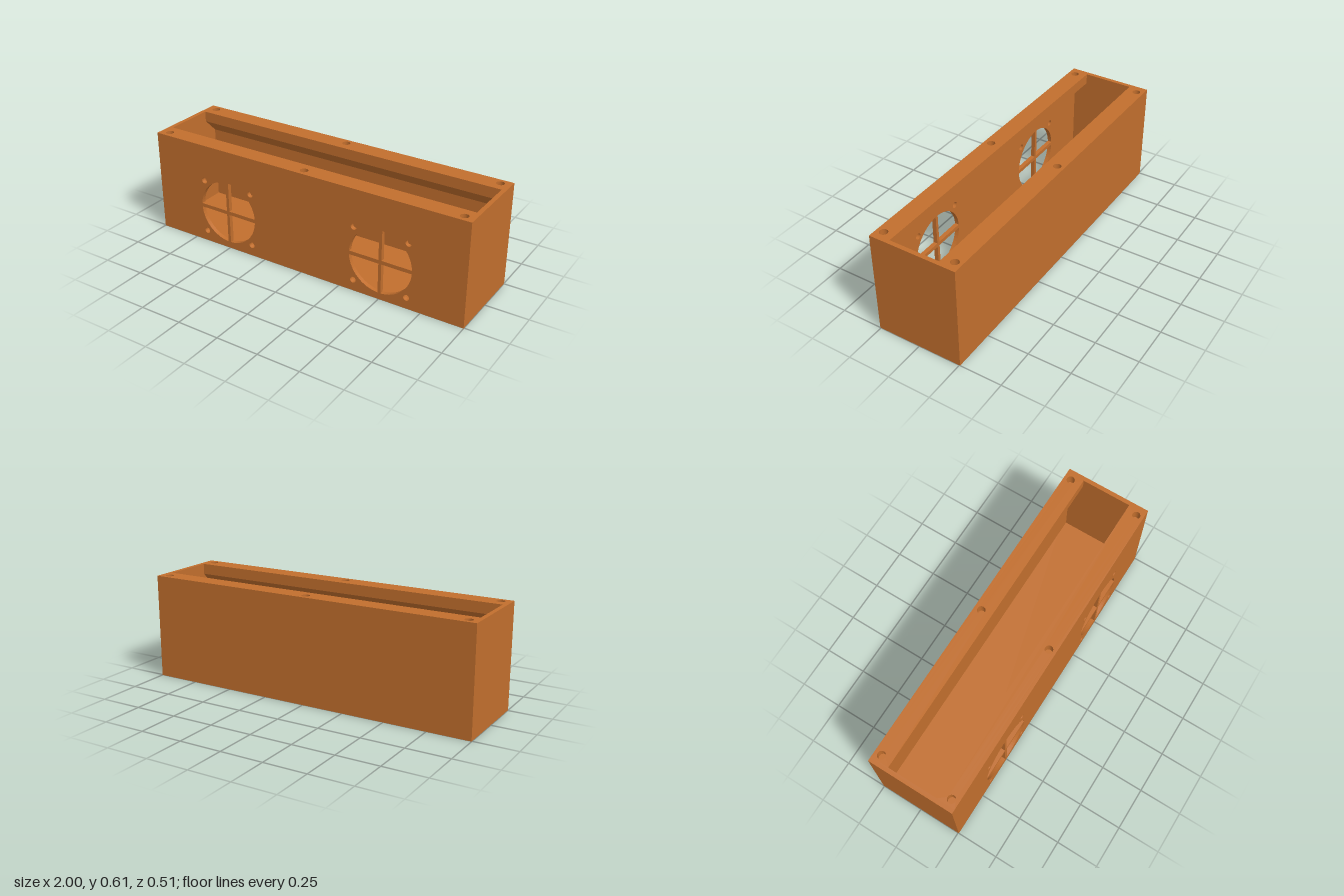
import * as THREE from 'three';

const L = 2, H = 0.613, D = 0.51, T = 0.025; // outer size and wall thickness
const LIP = 0.063, LIP_IN = 0.148, RAMP = 0.083; // top rail height, inner edge, slope below it
const IN_X = L / 2 - T, IN_Z = D / 2 - T;

// Rectangle shape from two corners
function rect(x0, y0, x1, y1) {
  return new THREE.Shape([[x0, y0], [x1, y0], [x1, y1], [x0, y1]].map(p => new THREE.Vector2(...p)));
}

function circleHole(x, y, r) {
  const p = new THREE.Path();
  p.absarc(x, y, r, 0, Math.PI * 2, true);
  return p;
}

// Quarter of a round opening, leaving room for the cross bars
function quarterHole(cx, cy, r, barX, barY, sx, sy) {
  const a0 = Math.asin(barY / r), a1 = Math.acos(barX / r), pts = [[barX, barY]];
  for (let i = 0; i <= 16; i++) {
    const a = a0 + (a1 - a0) * i / 16;
    pts.push([r * Math.cos(a), r * Math.sin(a)]);
  }
  return new THREE.Path(pts.map(([x, y]) => new THREE.Vector2(cx + sx * x, cy + sy * y)));
}

function extrude(shape, depth) {
  return new THREE.ExtrudeGeometry(shape, { depth, bevelEnabled: false, curveSegments: 24 });
}

export function createModel() {
  const group = new THREE.Group();
  group.name = 'speakerEnclosure';
  const orange = new THREE.MeshStandardMaterial({ color: 0xc16e2d });
  orange.name = 'orangePlastic';

  const add = (name, geometry, x = 0, y = 0, z = 0) => {
    const mesh = new THREE.Mesh(geometry, orange);
    mesh.name = name;
    mesh.position.set(x, y, z);
    group.add(mesh);
    return mesh;
  };

  // Floor, back wall and end walls
  add('floor', new THREE.BoxGeometry(IN_X * 2, T, D), 0, T / 2, 0);
  const wallH = H - LIP - T;
  add('backWall', new THREE.BoxGeometry(IN_X * 2, wallH, T), 0, T + wallH / 2, -D / 2 + T / 2);
  for (const s of [-1, 1]) {
    add(s > 0 ? 'leftWall' : 'rightWall', new THREE.BoxGeometry(T, H, D), s * (L - T) / 2, H / 2, 0);
  }

  // Front wall with two cross-barred round openings and their screw holes
  const front = rect(-IN_X, T, IN_X, H - LIP);
  for (const cx of [-0.502, 0.502]) {
    for (const sx of [-1, 1]) {
      for (const sy of [-1, 1]) {
        front.holes.push(quarterHole(cx, 0.229, 0.19, 0.009, 0.011, sx, sy));
        front.holes.push(circleHole(cx + sx * 0.163, 0.229 + sy * 0.163, 0.018));
      }
    }
  }
  add('frontWall', extrude(front, T), 0, 0, IN_Z);

  // Top rails with screw holes, each carried by a sloped support
  for (const s of [-1, 1]) {
    const side = s > 0 ? 'front' : 'back';
    const rail = rect(-IN_X, -D / 2, IN_X, -LIP_IN);
    for (const x of [-0.94, 0, 0.94]) rail.holes.push(circleHole(x, -0.213, 0.023));
    const railMesh = add(side + 'Rail', extrude(rail, LIP), 0, H - LIP, 0);
    railMesh.rotation.set(-Math.PI / 2, 0, s > 0 ? 0 : Math.PI);

    const y = H - LIP;
    const wedge = new THREE.Shape([
      new THREE.Vector2(LIP_IN, y),
      new THREE.Vector2(IN_Z, y - RAMP),
      new THREE.Vector2(IN_Z, y),
    ]);
    const support = add(side + 'RailSupport', extrude(wedge, IN_X * 2), s * -IN_X, 0, 0);
    support.rotation.y = -s * Math.PI / 2;
    support.position.x = s * IN_X;
  }
  return group;
}
